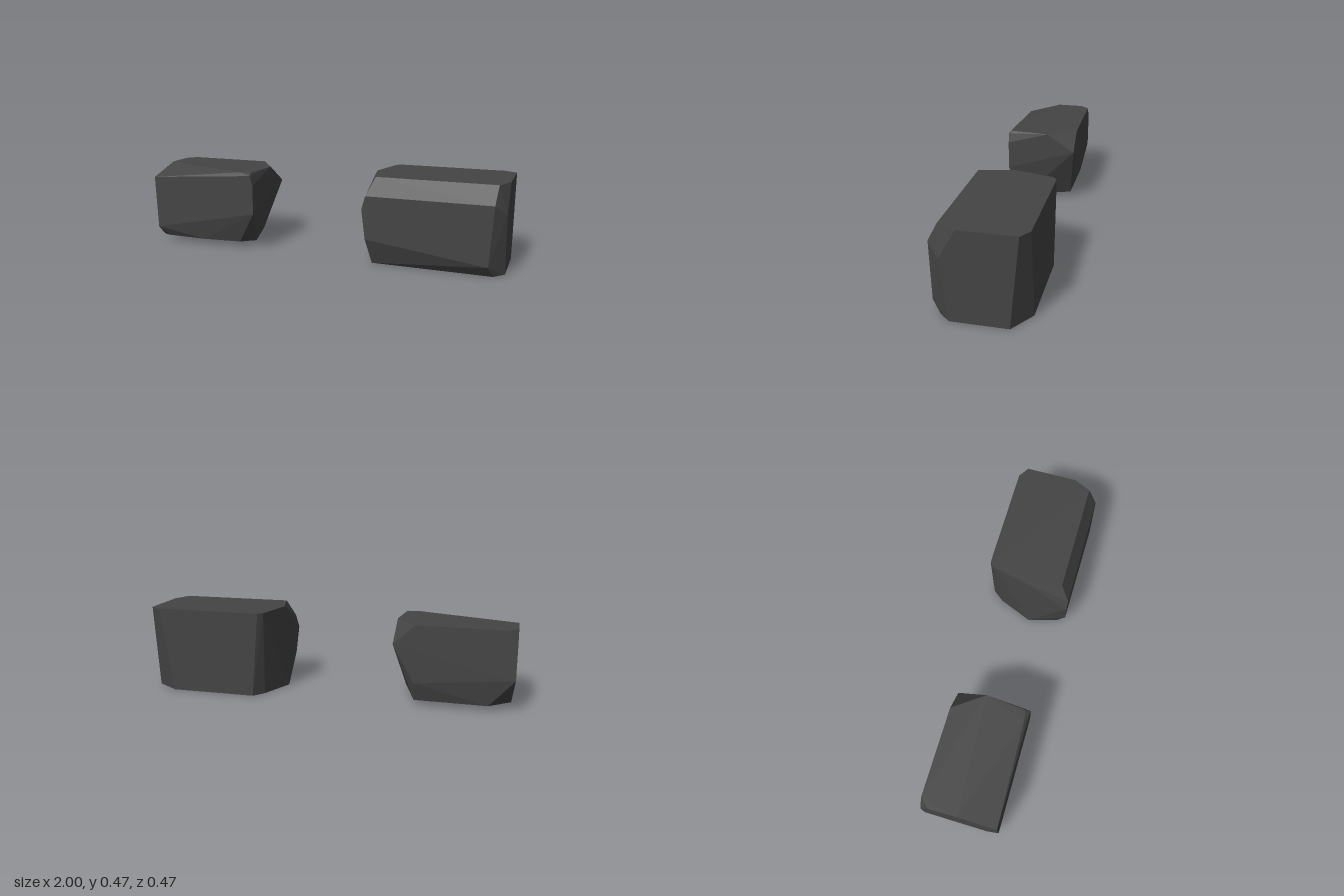
import * as THREE from 'three';
import { ConvexGeometry } from 'three/addons/geometries/ConvexGeometry.js';

// A chiselled stone: the convex hull of a few corner points, flat shaded
function makeRock(name, corners) {
  const points = corners.map(([x, y, z]) => new THREE.Vector3(x, y, z));
  const material = new THREE.MeshStandardMaterial({ color: 0x444444, flatShading: true });
  const rock = new THREE.Mesh(new ConvexGeometry(points), material);
  rock.name = name;
  return rock;
}

// Corners sharing one height, given as [x, z]
const level = (y, list) => list.map(([x, z]) => [x, y, z]);
// Corners sharing one depth, given as [x, y]
const upright = (z, list) => list.map(([x, y]) => [x, y, z]);

export function createModel() {
  const group = new THREE.Group();
  group.name = 'rocks';

  group.add(makeRock('largeRock', [
    // top
    ...level(0.465, [[0.36, -0.233], [0.94, -0.233], [1, -0.195], [1, 0.085],
      [0.955, 0.182], [0.33, 0.182], [0.285, 0], [0.335, -0.21]]),
    // front face
    ...upright(0.233, [[0.29, 0.37], [0.945, 0.37], [0.927, 0.057], [0.29, 0.14], [0.27, 0.3]]),
    // front corner of the side
    [1, 0.315, 0.17],
    // underside
    ...level(0, [[0.315, 0.18], [0.95, 0.19], [1, 0.133], [1, -0.15],
      [0.87, -0.233], [0.4, -0.233], [0.35, -0.17], [0.27, 0.02]]),
  ]));

  group.add(makeRock('smallRock', [
    // top
    ...level(0.44, [[-1, 0], [-0.45, 0.185], [-0.39, 0.175], [-0.37, -0.04],
      [-0.485, -0.2], [-0.955, -0.2], [-1, -0.15]]),
    // front face
    ...upright(0.2, [[-1, 0.38], [-0.385, 0.425], [-0.37, 0.37], [-0.37, 0.21], [-0.99, 0.085]]),
    // back face
    ...upright(-0.2, [[-0.37, 0.335], [-0.485, 0.13], [-1, 0.36], [-1, 0.18]]),
    // outer side, lower edge
    [-1, 0.12, 0.14],
    // underside
    ...level(0.03, [[-0.48, 0.155], [-0.405, 0.095], [-0.485, -0.17], [-0.87, -0.175],
      [-0.985, -0.08], [-0.985, 0.15], [-0.94, 0.17], [-0.7, 0.175]]),
  ]));

  return group;
}
